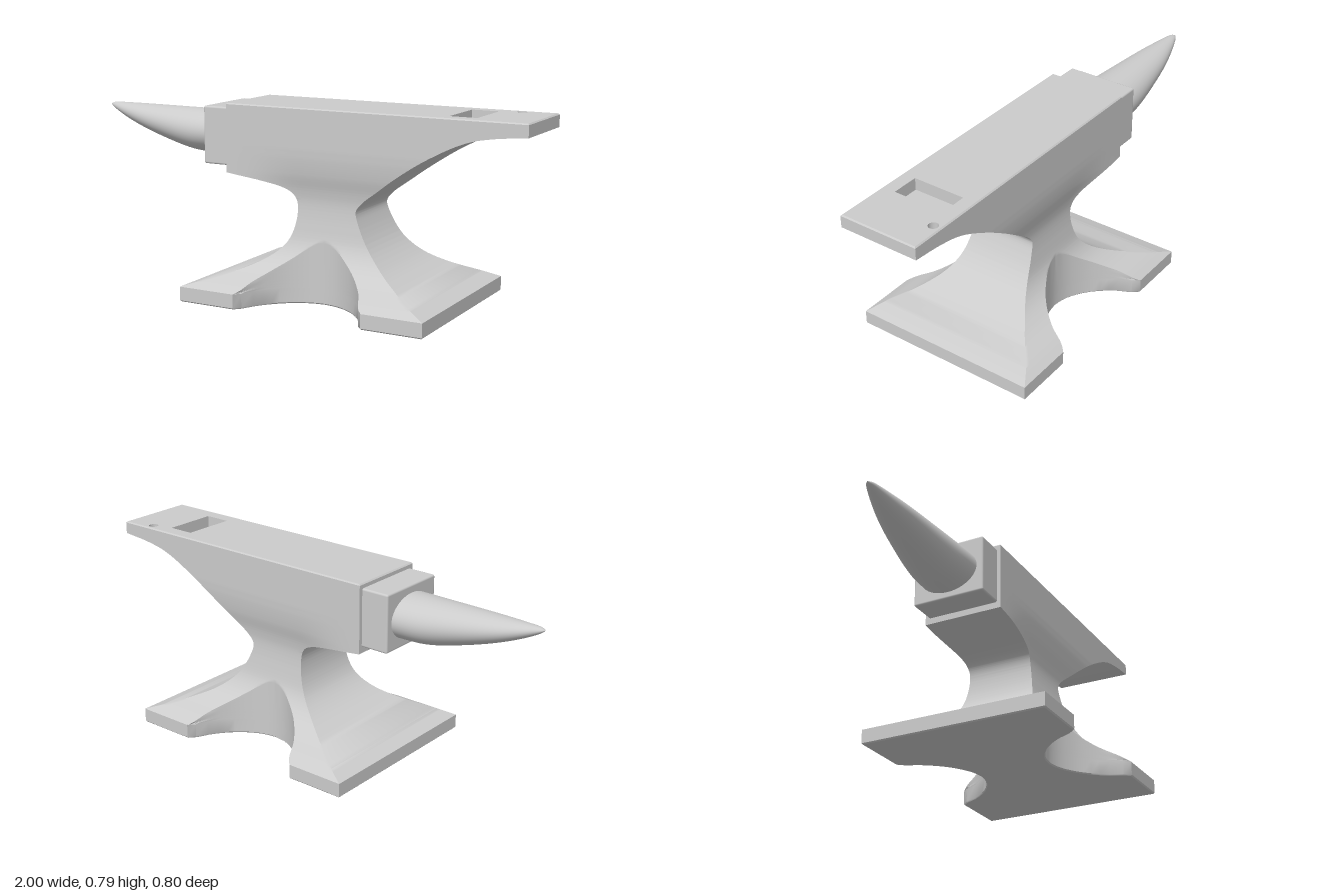
import * as THREE from 'three';
import { toCreasedNormals } from 'three/addons/utils/BufferGeometryUtils.js';
import { RoundedBoxGeometry } from 'three/addons/geometries/RoundedBoxGeometry.js';

const TOP = 0.79, MID = 0.16, BEVEL = 0.005;

// smooth 2D curve through a few points, sampled densely
const curve = (pts, n = 60) => new THREE.CatmullRomCurve3(
  pts.map(([a, b]) => new THREE.Vector3(a, b, 0))).getPoints(n);

// value of coordinate `to` where coordinate `from` (increasing) equals v; clamped at the ends
function lookup(samples, from, to, v) {
  if (v <= samples[0][from]) return samples[0][to];
  for (let i = 1; i < samples.length; i++) {
    const p = samples[i - 1], q = samples[i];
    if (v <= q[from]) return p[to] + (q[to] - p[to]) * (v - p[from]) / Math.max(q[from] - p[from], 1e-9);
  }
  return samples[samples.length - 1][to];
}

// normals with sharp edges kept; scaled up so close vertices stay distinct
function crease(geo, angle = 0.6) {
  geo.scale(50, 50, 50);
  const out = toCreasedNormals(geo, angle);
  return out.scale(0.02, 0.02, 0.02);
}

// skin over closed rings of equal length; optionally closes the first ring as a zipper of quads
function loft(rings, capStart) {
  const n = rings[0].length, pos = rings.flat(2), idx = [];
  for (let j = 0; j < rings.length - 1; j++) {
    for (let i = 0; i < n; i++) {
      const a = j * n + i, b = j * n + (i + 1) % n;
      idx.push(a, b, b + n, a, b + n, a + n);
    }
  }
  if (capStart) {
    for (let i = 0; i < n / 2 - 1; i++) {
      const k = n - 1 - i;
      idx.push(i, k, k - 1, i, k - 1, i + 1);
    }
  }
  const geo = new THREE.BufferGeometry();
  geo.setAttribute('position', new THREE.Float32BufferAttribute(pos, 3));
  geo.setIndex(idx);
  return crease(geo);
}

// silhouettes of the body, bottom to top: [x, y] left and right, [half depth, y] sideways
const leftSide = curve([[-0.375, 0.062], [-0.286, 0.092], [-0.15, 0.14], [-0.06, 0.19], [-0.005, 0.245],
  [0.024, 0.32], [0.028, 0.4], [0.01, 0.437], [-0.03, 0.46], [-0.126, 0.482], [-0.29, 0.504]]);
const rightSide = curve([[0.697, 0.062], [0.54, 0.122], [0.436, 0.176], [0.355, 0.25], [0.303, 0.34], [0.29, 0.39],
  [0.315, 0.425], [0.38, 0.475], [0.49, 0.555], [0.61, 0.63], [0.757, 0.7], [0.865, 0.724], [1, 0.737]]);
const depth = curve([[0.398, 0.062], [0.354, 0.088], [0.268, 0.132], [0.205, 0.181], [0.168, 0.239],
  [0.149, 0.32], [0.141, 0.405], [0.146, 0.455], [0.161, 0.52], [0.169, 0.58], [0.171, 0.62]]);
// scoop in the front and back of the foot: [half width, depth]
const scoop = curve([[0, 0.16], [0.045, 0.166], [0.09, 0.182], [0.157, 0.225], [0.227, 0.305], [0.262, 0.375], [0.285, 0.4]]);

// one horizontal section of the body
function bodyRing(y) {
  const inset = y === 0 || y === TOP ? BEVEL : 0;
  const xL = lookup(leftSide, 'y', 'x', y) + inset;
  const xR = lookup(rightSide, 'y', 'x', y) - inset;
  const zH = lookup(depth, 'y', 'x', y);
  const scooped = y < 0.3;
  const h = scooped ? Math.max(lookup(scoop, 'y', 'x', zH), 0.05) : 0.05;
  const xs = [];
  for (let i = 0; i < 12; i++) xs.push(THREE.MathUtils.lerp(xL, MID - h, i / 12));
  for (let i = 0; i < 24; i++) xs.push(MID - h + 2 * h * i / 24);
  for (let i = 0; i <= 12; i++) xs.push(THREE.MathUtils.lerp(MID + h, xR, i / 12));
  const front = xs.map((x) => {
    let z = zH;
    const d = Math.abs(x - MID);
    if (scooped && d < 0.285) z = Math.min(z, lookup(scoop, 'x', 'y', d));
    // the horn end of the body keeps its full thickness
    if (y > 0.42) z += (0.171 - z) * (1 - THREE.MathUtils.smoothstep(x, -0.25, 0.05));
    return [x, y, z - inset];
  });
  return [...front, ...front.map(([x, , z]) => [x, y, -z]).reverse()];
}

function bodyGeometry() {
  const ys = [...leftSide, ...rightSide, ...depth].map((p) => p.y).sort((a, b) => a - b);
  const rows = [0, BEVEL];
  for (const y of [...ys, TOP - BEVEL, TOP]) if (y - rows[rows.length - 1] > 0.0007) rows.push(y);
  return loft(rows.map(bodyRing), true);
}

// elliptical sections tapering to the tip: [x, bottom, top, half width]
function hornGeometry() {
  const under = curve([[0, 0.556], [0.117, 0.56], [0.277, 0.598], [0.44, 0.652], [0.545, 0.699], [0.58, 0.72], [0.59, 0.73]]);
  const upper = curve([[0, 0.738], [0.5, 0.739], [0.57, 0.737], [0.59, 0.73]]);
  const width = curve([[0, 0.128], [0.095, 0.121], [0.256, 0.097], [0.416, 0.066], [0.55, 0.025], [0.58, 0.011], [0.59, 0]]);
  const rings = [];
  for (let j = 0; j <= 40; j++) {
    const t = 0.59 * (1 - (1 - j / 40) ** 1.5);
    const lo = lookup(under, 'x', 'y', t), hi = lookup(upper, 'x', 'y', t), w = lookup(width, 'x', 'y', t);
    const ring = [];
    for (let i = 0; i < 48; i++) {
      const a = i / 48 * Math.PI * 2;
      ring.push([-0.41 - t, (lo + hi) / 2 + (hi - lo) / 2 * Math.sin(a), w * Math.cos(a)]);
    }
    rings.push(ring);
  }
  return loft(rings, false);
}

export function createModel() {
  const group = new THREE.Group();
  const steel = new THREE.MeshStandardMaterial({ color: 0xcccccc });
  const lining = new THREE.MeshStandardMaterial({ color: 0xcccccc, side: THREE.DoubleSide });
  const add = (name, geo, mat = steel) => {
    const mesh = new THREE.Mesh(geo, mat);
    mesh.name = name;
    group.add(mesh);
    return mesh;
  };

  add('body', bodyGeometry());
  add('horn', hornGeometry());
  add('hornStep', new RoundedBoxGeometry(0.16, 0.24, 0.31, 3, 0.008)).position.set(-0.33, 0.65, 0);

  // flat working face with a square and a round hole
  const hx = 0.722, hw = 0.056, hd = 0.112, rx = 0.863, rz = -0.137, r = 0.02;
  const x0 = -0.29 + BEVEL, x1 = 1 - BEVEL, zf = 0.171 - BEVEL;
  const rect = (path, a, b, c, d) => path.moveTo(a, c).lineTo(b, c).lineTo(b, d).lineTo(a, d).closePath();
  const face = rect(new THREE.Shape(), x0, x1, -zf, zf);
  face.holes.push(rect(new THREE.Path(), hx - hw, hx + hw, -hd, hd));
  face.holes.push(new THREE.Path().absarc(rx, -rz, r, 0, Math.PI * 2, true));
  add('face', new THREE.ShapeGeometry(face, 12).rotateX(-Math.PI / 2)).position.y = TOP;

  // blind pockets under the holes
  const pocket = (name, sides, x, z, rX, rZ, deep) => {
    const k = sides === 4 ? Math.SQRT2 : 1;
    const profile = [[0, -deep], [k, -deep], [k, 0]].map(([a, b]) => new THREE.Vector2(a, b));
    const geo = new THREE.LatheGeometry(profile, sides, sides === 4 ? Math.PI / 4 : 0);
    add(name, crease(geo.scale(rX, 1, rZ)), lining).position.set(x, TOP, z);
  };
  pocket('squareHole', 4, hx, 0, hw, hd, 0.05);
  pocket('roundHole', 24, rx, rz, r, r, 0.03);

  return group;
}
